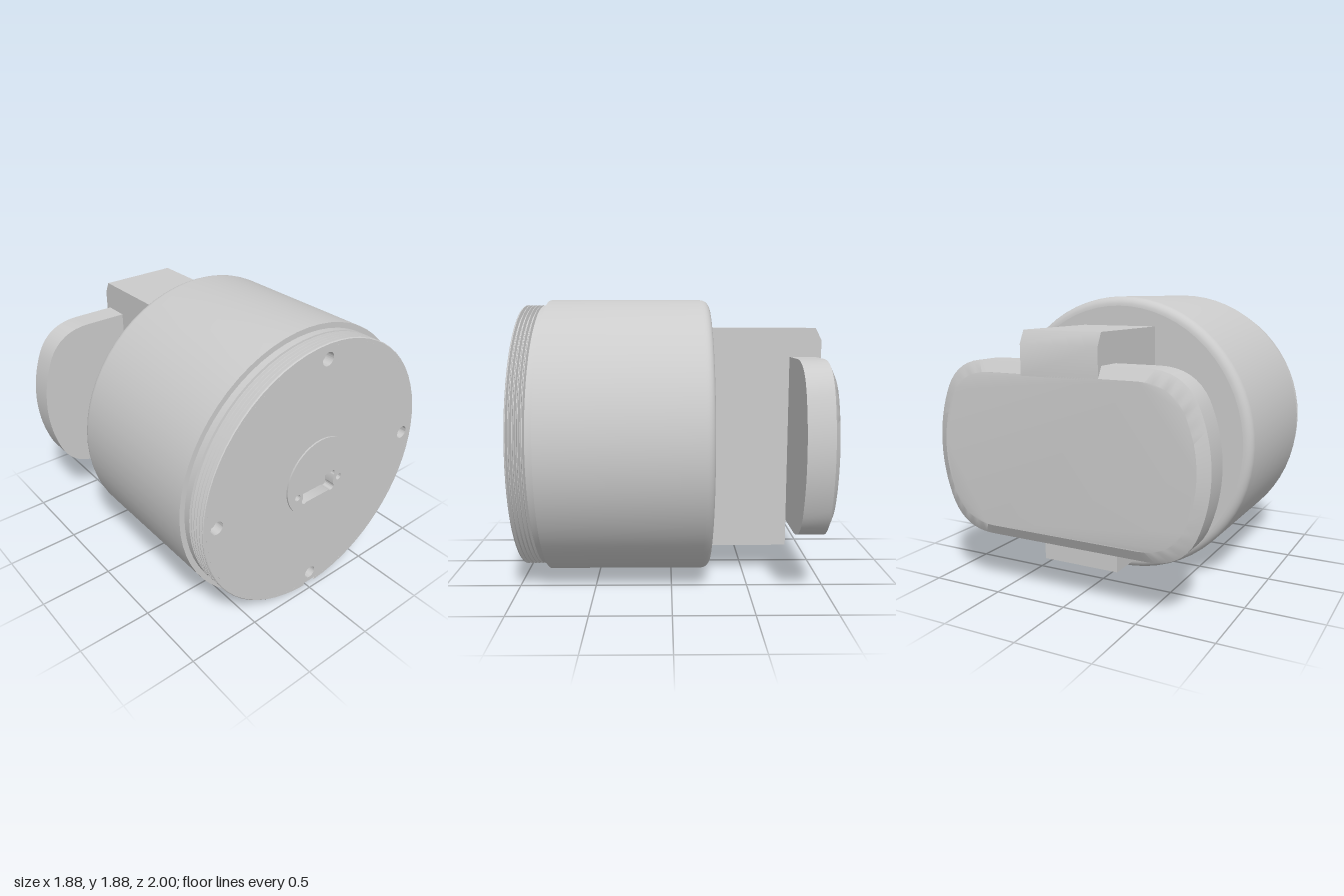
import * as THREE from 'three';
import { toCreasedNormals } from 'three/addons/utils/BufferGeometryUtils.js';

const CY = 0.94; // height of the body axis
const grey = new THREE.MeshStandardMaterial({ color: 0xcccccc, side: THREE.DoubleSide });

function add(group, name, geometry, y = CY, z = 0) {
  const mesh = new THREE.Mesh(toCreasedNormals(geometry, 0.5), grey);
  mesh.name = name;
  mesh.position.set(0, y, z);
  group.add(mesh);
  return mesh;
}

// Turned part around the z axis; profile is a list of [radius, z]
function turned(profile, gap = 0) {
  const points = profile.map(([r, z]) => new THREE.Vector2(r, z));
  return new THREE.LatheGeometry(points, 64, gap, Math.PI * 2 - 2 * gap).rotateX(Math.PI / 2);
}

function circlePath(x, y, r) {
  return new THREE.Path().absarc(x, y, r, 0, Math.PI * 2, true);
}

// Round slab with holes cut through it
function slab(r, depth, holes) {
  const shape = new THREE.Shape().absarc(0, 0, r, 0, Math.PI * 2, false);
  shape.holes.push(...holes);
  return new THREE.ExtrudeGeometry(shape, { depth, bevelEnabled: false, curveSegments: 32 });
}

export function createModel() {
  const model = new THREE.Group();

  // Main barrel with a rounded back edge and a front shoulder
  const barrel = [];
  for (let i = 0; i <= 6; i++) {
    const a = (i / 6) * Math.PI / 2;
    barrel.push([0.88 + 0.06 * Math.sin(a), -0.2 - 0.06 * Math.cos(a)]);
  }
  barrel.push([0.94, 0.82], [0.87, 0.82]);
  add(model, 'barrel', turned(barrel));

  // Back wall with a blind hole on either side of the arm
  add(model, 'backWall', slab(0.88, 0.08, [-0.6, 0.6].map(x => circlePath(x, 0, 0.05))), CY, -0.26);
  add(model, 'backHoleFloor', new THREE.CircleGeometry(0.87, 48).rotateY(Math.PI), CY, -0.19);

  // Threaded collar, split at the bottom by the key slot
  const thread = [[0.88, 0.82], [0.905, 0.82], [0.905, 0.865]];
  const teeth = 5, pitch = 0.025;
  for (let i = 0; i < teeth; i++) {
    const z = 0.865 + i * pitch;
    thread.push([0.882, z + 0.004], [0.882, z + 0.008], [0.905, z + 0.016], [0.905, z + 0.02]);
  }
  thread.push([0.9, 0.99], [0.88, 0.99]);
  add(model, 'threadedCollar', turned(thread, 0.055));

  // Front cover with four screw holes and a seat for the port disc
  const coverHoles = [circlePath(0, 0, 0.268)];
  for (let i = 0; i < 4; i++) {
    const a = i * Math.PI / 2;
    coverHoles.push(circlePath(0.805 * Math.cos(a), 0.805 * Math.sin(a), 0.044));
  }
  add(model, 'frontCover', slab(0.88, 0.17, coverHoles), CY, 0.82);
  add(model, 'frontHoleFloor', new THREE.CircleGeometry(0.87, 48), CY, 0.93);

  // Port disc: a rectangular opening with relieved corners and two screw holes
  const port = new THREE.Path();
  const portY = -0.083, w = 0.118, h = 0.052;
  [[1, 1, 0], [-1, 1, 1], [-1, -1, 2], [1, -1, 3]].forEach(([sx, sy, q]) => {
    const start = (q - 0.5) * Math.PI / 2;
    port.absarc(sx * w, portY + sy * h, 0.023, start, start + Math.PI, false);
  });
  port.closePath();
  const discHoles = [port, circlePath(-0.18, portY, 0.022), circlePath(0.18, portY, 0.022)];
  add(model, 'portDisc', slab(0.27, 0.07, discHoles), CY, 0.93);

  // Arm: side outline [z, y] extruded across x
  const armOutline = [[-0.25, 0.2], [-0.79, 0.2], [-0.79, 0.6], [-0.95, 0.7], [-0.95, 1.4],
    [-1, 1.42], [-1, 1.61], [-0.96, 1.69], [-0.25, 1.69]];
  const armShape = new THREE.Shape(armOutline.map(([z, y]) => new THREE.Vector2(-z, y)));
  const arm = new THREE.ExtrudeGeometry(armShape, { depth: 0.53, bevelEnabled: false });
  arm.translate(0, 0, -0.265).rotateY(Math.PI / 2);
  add(model, 'arm', arm, 0);

  // Back plate: bulging sides follow the barrel radius, corners are rounded
  const t = 0.42, r = 0.94, half = 0.56;
  const px = r * Math.cos(t), py = r * Math.sin(t);
  const plateShape = new THREE.Shape();
  plateShape.moveTo(-0.55, -half).lineTo(0.55, -half);
  plateShape.quadraticCurveTo(0.77, -half, px, -py);
  plateShape.absarc(0, 0, r, -t, t, false);
  plateShape.quadraticCurveTo(0.77, half, 0.55, half).lineTo(-0.55, half);
  plateShape.quadraticCurveTo(-0.77, half, -px, py);
  plateShape.absarc(0, 0, r, Math.PI - t, Math.PI + t, false);
  plateShape.quadraticCurveTo(-0.77, -half, -0.55, -half);
  const plate = new THREE.ExtrudeGeometry(plateShape, { depth: 2, steps: 2, bevelEnabled: false, curveSegments: 8 });
  // Shrink the rearmost layer to form the chamfer
  const pos = plate.attributes.position;
  const layers = [-1, -0.96, -0.79];
  for (let i = 0; i < pos.count; i++) {
    const layer = Math.round(pos.getZ(i));
    if (layer === 0) pos.setXY(i, pos.getX(i) * 0.925, pos.getY(i) * 0.875);
    pos.setZ(i, layers[layer]);
  }
  add(model, 'backPlate', plate);

  return model;
}
